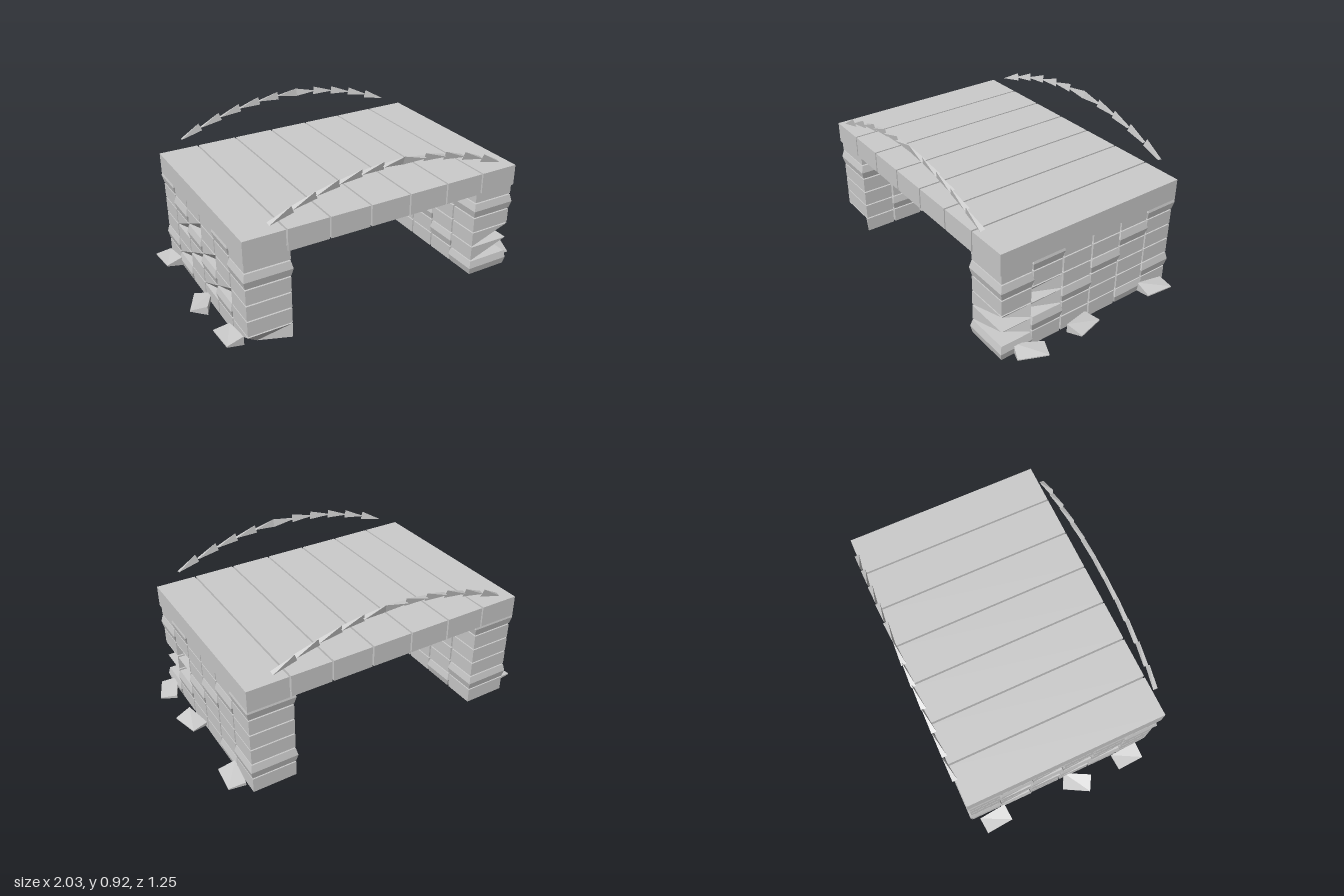
import * as THREE from 'three';

const material = new THREE.MeshStandardMaterial({ color: 0xcccccc, flatShading: true });

function addMesh(parent, geometry, name) {
  const mesh = new THREE.Mesh(geometry, material);
  mesh.name = name;
  parent.add(mesh);
  return mesh;
}

// Box whose vertices are moved by a rule
function shapedBox(w, h, d, rows, rule) {
  const geometry = new THREE.BoxGeometry(w, h, d, 1, rows, 1);
  const p = geometry.attributes.position;
  const v = new THREE.Vector3();
  for (let i = 0; i < p.count; i++) {
    v.fromBufferAttribute(p, i);
    rule(v);
    p.setXYZ(i, v.x, v.y, v.z);
  }
  geometry.computeVertexNormals();
  return geometry;
}

// Four-cornered stone chip: upright edge at one end, level edge at the other
function chipGeometry(length, height, depth) {
  const geometry = new THREE.BufferGeometry();
  const l = length / 2, h = height / 2, d = depth / 2;
  geometry.setAttribute('position', new THREE.Float32BufferAttribute(
    [l, h, 0, l, -h, 0, -l, 0, d, -l, 0, -d], 3));
  geometry.setIndex([0, 2, 1, 0, 1, 3, 0, 3, 2, 1, 2, 3]);
  const flat = geometry.toNonIndexed();
  flat.computeVertexNormals();
  return flat;
}

const COURSES = 6, COLUMNS = 6;
// Broken blocks on each pier, as course and column counted from the front
const broken = {
  1: ['1,0', '2,0', '2,1', '3,1'],
  '-1': ['0,0', '1,2', '2,1', '2,3', '3,2', '3,4', '1,4', '4,3'],
};

function makePier(side) {
  const pier = new THREE.Group();
  pier.name = side > 0 ? 'leftPier' : 'rightPier';
  const w = 0.262, h = 0.09, d = 0.188;
  for (let row = 0; row < COURSES; row++) {
    for (let col = 0; col < COLUMNS; col++) {
      const isBroken = broken[side].includes(`${row},${col}`);
      const bulge = (row * 5 + col * 3) % 4 === 0 ? 0.01 : 0;
      const geometry = isBroken
        // lower outer corner knocked away
        ? shapedBox(w, h, d, 1, (v) => {
          if (v.y < 0 && v.x * side > 0 && v.z > 0) {
            v.x -= side * 0.08;
            if (col === 0) v.z -= 0.07;
          }
        })
        // sides swell slightly at mid-height
        : shapedBox(w, h, d, 2, (v) => {
          if (Math.abs(v.y) < 0.001) {
            v.x += Math.sign(v.x) * bulge;
            v.z += Math.sign(v.z) * bulge;
          }
        });
      const block = addMesh(pier, geometry, isBroken ? 'brokenBlock' : 'block');
      block.position.set(side * 0.737, 0.047 + row * 0.0982, 0.5 - col * 0.2);
    }
  }
  return pier;
}

function makeDeck() {
  const deck = new THREE.Group();
  deck.name = 'deck';
  for (let i = 0; i < 7; i++) {
    const slab = addMesh(deck, new THREE.BoxGeometry(0.241, 0.128, 1.21), 'deckSlab');
    slab.position.set((i - 3) * 0.2513, 0.617, 0);
  }
  return deck;
}

// Arched row of stone chips above each open edge
function makeArch(side) {
  const arch = new THREE.Group();
  arch.name = side > 0 ? 'frontArch' : 'backArch';
  const height = (x) => 0.9 - 0.3 * x * x;
  for (let i = -5; i <= 5; i++) {
    const x = i * 0.133;
    const chip = addMesh(arch, chipGeometry(0.142, 0.05, 0.03), 'archChip');
    chip.position.set(x, height(x), side * 0.612);
    const facing = i > 0 ? Math.PI : 0;
    chip.rotation.set(side * 0.2, 0, Math.atan2(-0.6 * x, 1) + facing);
  }
  return arch;
}

// Flat rubble at the foot of both piers
function makeRubble() {
  const rubble = new THREE.Group();
  rubble.name = 'rubble';
  const places = [
    [0.93, -0.46, -0.1], [0.935, 0.09, 0.25], [0.935, 0.45, -0.4],
    [-0.93, -0.46, 0.08], [-0.935, 0.09, -0.5], [-0.92, 0.45, 0.05],
  ];
  for (const [x, z, turn] of places) {
    // slab tapering to a thin outer edge
    const geometry = shapedBox(0.1, 0.056, 0.17, 1, (v) => {
      if (v.x * x > 0) v.y *= 0.12;
      else if (v.z < 0) v.y *= 0.35;
    });
    const stone = addMesh(rubble, geometry, 'fallenStone');
    stone.position.set(x, 0.036, z);
    stone.rotation.y = turn;
  }
  return rubble;
}

export function createModel() {
  const model = new THREE.Group();
  model.name = 'stoneBridge';
  model.add(makePier(1), makePier(-1), makeDeck(), makeArch(1), makeArch(-1), makeRubble());
  return model;
}
